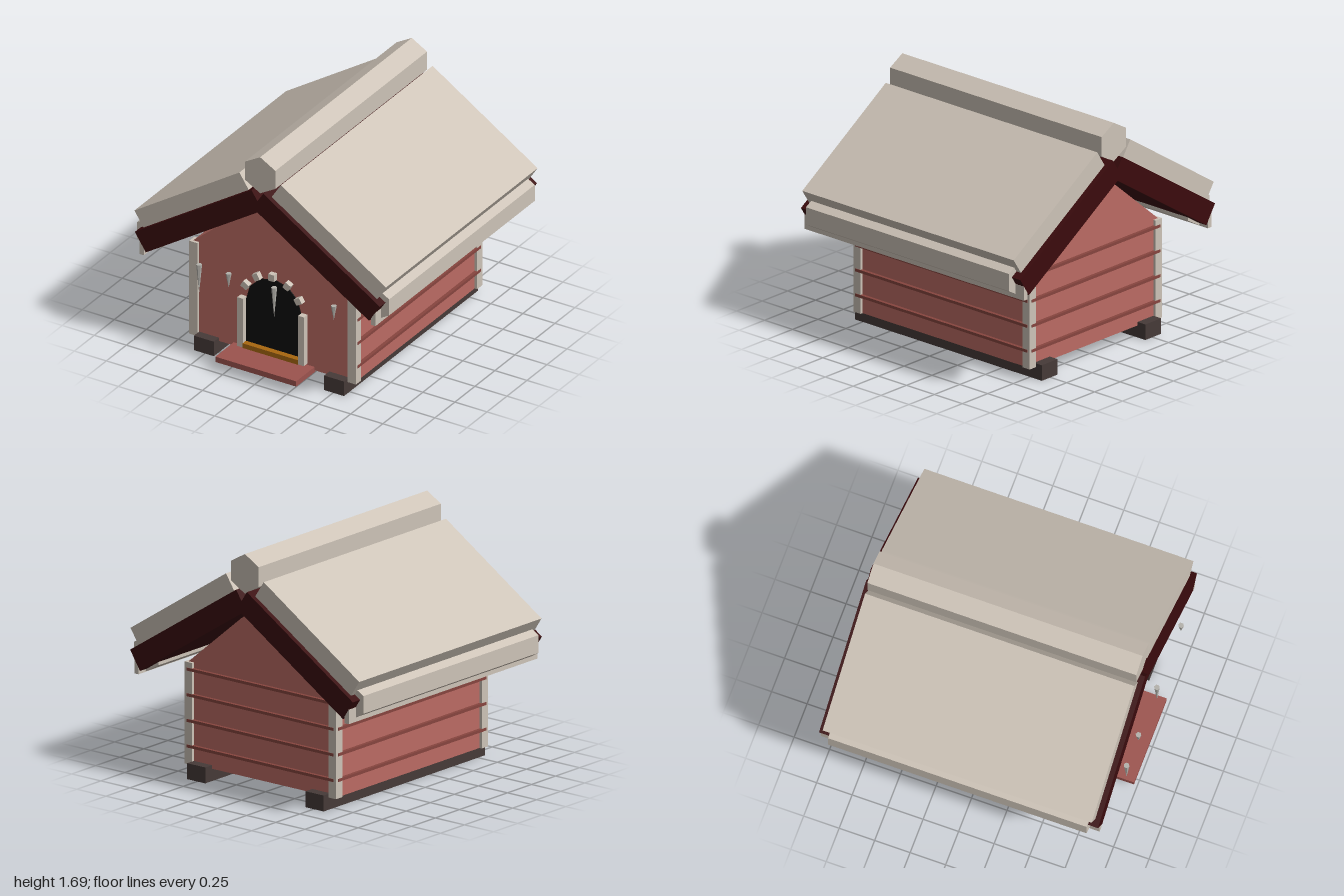
import * as THREE from 'three';

const mat = (name, color, side = THREE.FrontSide) => {
  const m = new THREE.MeshStandardMaterial({ color, side });
  m.name = name;
  return m;
};

export function createModel() {
  const wallRed = mat('wall red', 0xbb6b63);
  const battenRed = mat('batten red', 0x87453f);
  const stepRed = mat('step red', 0x9c534e);
  const roofRed = mat('dark roof red', 0x3b0b0d);
  const offWhite = mat('off white', 0xcdc3b7);
  const skidBrown = mat('skid brown', 0x463a38);
  const doorBlack = mat('door black', 0x0c0c0c);
  const sillOrange = mat('sill orange', 0xa8670f);
  const iceGrey = mat('ice grey', 0xb3b1ab);

  const house = new THREE.Group();
  house.name = 'kennel';

  const add = (name, geometry, material, x = 0, y = 0, z = 0, rotZ = 0) => {
    const mesh = new THREE.Mesh(geometry.index ? geometry.toNonIndexed() : geometry, material);
    mesh.geometry.computeVertexNormals();
    mesh.name = name;
    mesh.position.set(x, y, z);
    mesh.rotation.z = rotZ;
    house.add(mesh);
    return mesh;
  };
  // Box given by its minimum and maximum on each axis
  const box = (name, material, x0, x1, y0, y1, z0, z1) =>
    add(name, new THREE.BoxGeometry(x1 - x0, y1 - y0, z1 - z0), material,
      (x0 + x1) / 2, (y0 + y1) / 2, (z0 + z1) / 2);
  // Outline in x and y, extruded between two z values
  const prism = (name, material, shape, z0, z1) =>
    add(name, new THREE.ExtrudeGeometry(shape, { depth: z1 - z0, bevelEnabled: false, curveSegments: 6 }),
      material, 0, 0, z0);
  // Six-sided roll of snow along z, with a corner on top
  const hexRoll = (name, x, y, r, z0, z1) => {
    const shape = new THREE.Shape();
    for (let i = 0; i < 6; i++) {
      const a = Math.PI / 2 + i * Math.PI / 3;
      shape[i ? 'lineTo' : 'moveTo'](x + r * Math.cos(a), y + r * Math.sin(a));
    }
    prism(name, offWhite, shape, z0, z1);
  };

  // Body and gable
  box('body', wallRed, -0.63, 0.63, 0.085, 0.79, -0.785, 0.755);
  const gable = new THREE.Shape([
    new THREE.Vector2(-0.63, 0.79), new THREE.Vector2(0.63, 0.79), new THREE.Vector2(0, 1.325)]);
  prism('gable', wallRed, gable, -0.785, 0.755);

  // Battens on the sides and back
  for (let i = 0; i < 4; i++) {
    const y = 0.2 + i * 0.177;
    for (const s of [-1, 1]) {
      add('sideBatten', new THREE.BoxGeometry(0.035, 0.02, 1.54), battenRed, s * 0.636, y + 0.01, -0.015);
    }
    box('backBatten', battenRed, -0.63, 0.63, y, y + 0.02, -0.808, -0.78);
  }

  for (const s of [-1, 1]) {
    // Corner posts and skids
    for (const z of [0.7425, -0.7725]) {
      add('cornerPost', new THREE.BoxGeometry(0.065, 0.705, 0.065), offWhite, s * 0.6175, 0.4375, z);
    }
    add('skid', new THREE.BoxGeometry(0.155, 0.11, 1.675), skidBrown, s * 0.5075, 0.055, -0.0175);

    // Roof slab, snow on it, eave trim and eave snow
    add('roofSlab', new THREE.BoxGeometry(1.083, 0.156, 1.965), roofRed, s * 0.458, 1.086, -0.0175, -s * 0.574);
    add('roofSnow', new THREE.BoxGeometry(0.977, 0.133, 1.895), offWhite, s * 0.535, 1.206, -0.0175, -s * 0.577);
    add('eaveTrim', new THREE.BoxGeometry(0.035, 0.1, 1.964), offWhite, s * 0.9025, 0.75, -0.0175);
    hexRoll('eaveSnow', s * 0.878, 0.828, 0.122, -0.925, 0.895);

    // Door posts
    add('doorPost', new THREE.BoxGeometry(0.045, 0.37, 0.05), offWhite, s * 0.2375, 0.305, 0.775);
  }
  hexRoll('ridgeSnow', 0, 1.555, 0.137, -0.965, 0.93);

  // Arched doorway
  const arch = new THREE.Shape();
  arch.moveTo(-0.215, 0.12);
  arch.lineTo(0.215, 0.12);
  for (let i = 0; i <= 6; i++) {
    const a = i * Math.PI / 6;
    arch.lineTo(0.215 * Math.cos(a), 0.47 + 0.213 * Math.sin(a));
  }
  prism('doorway', doorBlack, arch, 0.755, 0.763);
  for (const deg of [30, 60, 90, 120, 150]) {
    const a = deg * Math.PI / 180;
    add('archStone', new THREE.BoxGeometry(0.045, 0.05, 0.045), offWhite,
      0.24 * Math.cos(a), 0.47 + 0.24 * Math.sin(a), 0.7725, a - Math.PI / 2);
  }
  box('doorSill', sillOrange, -0.215, 0.215, 0.12, 0.155, 0.755, 0.805);
  box('doorstep', stepRed, -0.315, 0.315, 0.07, 0.11, 0.745, 0.985);

  // Icicles: x position and tip height
  for (const [x, tip] of [[-0.445, 0.55], [-0.215, 0.66], [0.14, 0.54], [0.605, 0.66]]) {
    const h = 0.77 - tip;
    const cone = new THREE.ConeGeometry(0.02, h, 6);
    cone.rotateX(Math.PI);
    add('icicle', cone, iceGrey, x, 0.77 - h / 2, 0.98);
  }
  return house;
}
